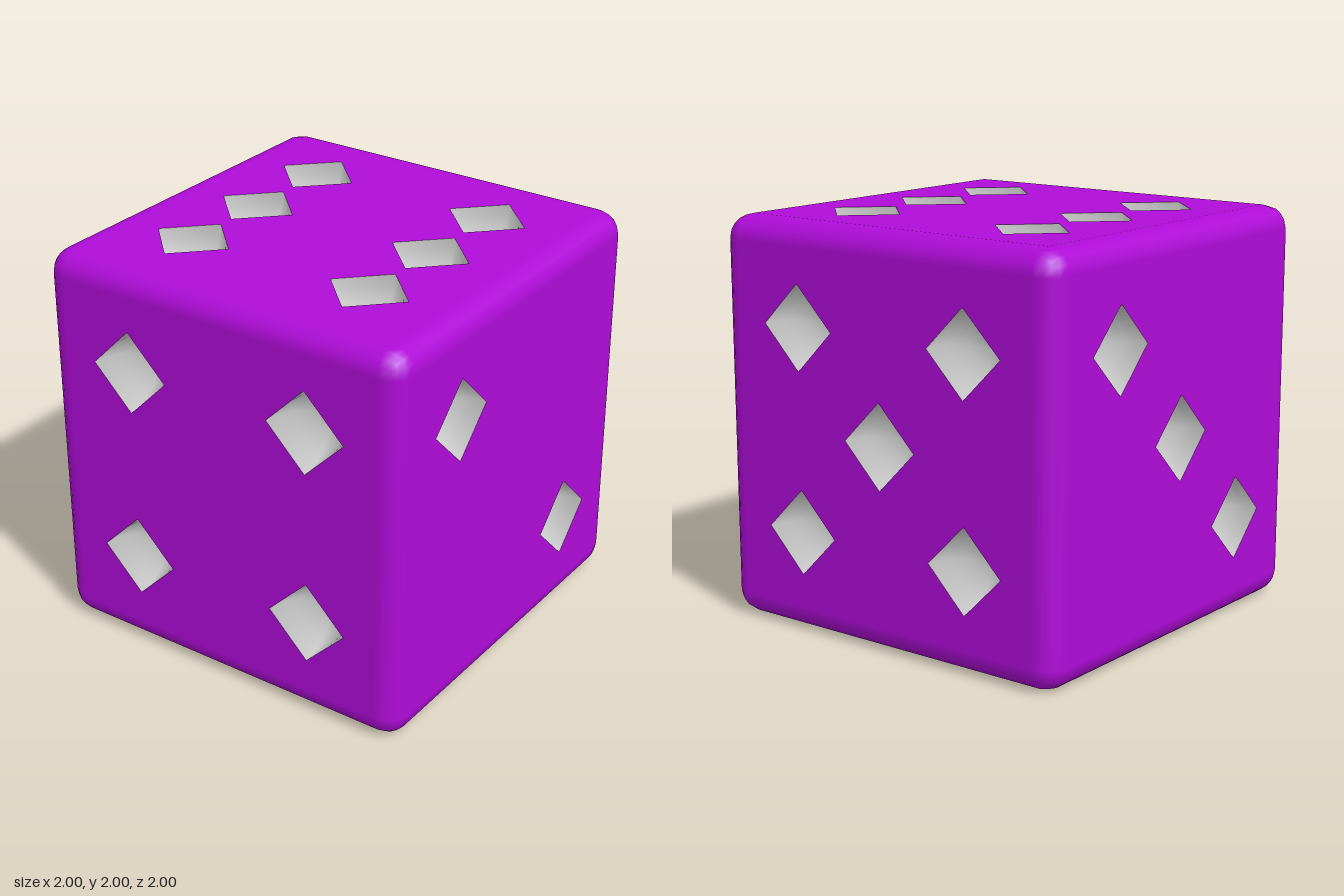
import * as THREE from 'three';
import { mergeGeometries } from 'three/addons/utils/BufferGeometryUtils.js';
import { RoundedBoxGeometry } from 'three/addons/geometries/RoundedBoxGeometry.js';

const BEVEL = 0.12, PIP = 0.21, S = 0.5, Q = Math.PI / 2;

// Each face: rotation from the +z side, and pip centres in the face's own x, y
const corners = [[-S, S], [S, S], [-S, -S], [S, -S]];
const diagonal = [[-S, S], [S, -S]];
const faces = [
  { name: 'front', rot: [0, 0], pips: corners },
  { name: 'back', rot: [0, 2 * Q], pips: [...corners, [0, 0]] },
  { name: 'left', rot: [0, Q], pips: diagonal },
  { name: 'right', rot: [0, -Q], pips: [...diagonal, [0, 0]] },
  { name: 'top', rot: [-Q, 0], pips: [...corners, [-S, 0], [S, 0]] },
  { name: 'bottom', rot: [Q, 0], pips: [[0, 0]] },
];

// Rounded edges and corners: a rounded box without its six flat panels
function roundedFrame() {
  const box = new RoundedBoxGeometry(2, 2, 2, 2, BEVEL);
  const p = box.attributes.position.array, n = box.attributes.normal.array;
  const pos = [], nor = [];
  for (let i = 0; i < p.length; i += 9) {
    const mean = [0, 1, 2].map((k) => Math.abs(n[i + k] + n[i + 3 + k] + n[i + 6 + k]) / 3);
    if (Math.max(...mean) > 0.9999) continue;
    pos.push(...p.slice(i, i + 9));
    nor.push(...n.slice(i, i + 9));
  }
  const g = new THREE.BufferGeometry();
  g.setAttribute('position', new THREE.Float32BufferAttribute(pos, 3));
  g.setAttribute('normal', new THREE.Float32BufferAttribute(nor, 3));
  return g;
}

// Flat panel with a diamond opening for every pip
function panel(pips) {
  const h = 1 - BEVEL;
  const square = (x, y, pts) => pts.map(([a, b]) => new THREE.Vector2(x + a, y + b));
  const shape = new THREE.Shape(square(0, 0, [[-h, -h], [h, -h], [h, h], [-h, h]]));
  for (const [x, y] of pips) {
    shape.holes.push(new THREE.Path(square(x, y, [[PIP, 0], [0, -PIP], [-PIP, 0], [0, PIP]])));
  }
  const g = new THREE.ShapeGeometry(shape).toNonIndexed();
  g.deleteAttribute('uv');
  return g.translate(0, 0, 1);
}

// Four-sided hollow, open towards +z
function pipBowl() {
  const profile = [];
  for (let i = 0; i <= 6; i++) {
    const a = (i / 6) * Q;
    profile.push(new THREE.Vector2(i === 6 ? 0 : PIP * Math.cos(a), -PIP * Math.sin(a)));
  }
  return new THREE.LatheGeometry(profile, 4).rotateX(Q);
}

export function createModel() {
  const group = new THREE.Group();
  group.name = 'die';
  const purple = new THREE.MeshStandardMaterial({ color: 0xaf0cd8 });
  const grey = new THREE.MeshStandardMaterial({ color: 0xcccccc });
  const bowl = pipBowl();
  const parts = [roundedFrame()];

  for (const { name, rot, pips } of faces) {
    parts.push(panel(pips).rotateX(rot[0]).rotateY(rot[1]));

    // Pips of this face
    const side = new THREE.Group();
    side.name = name + 'Pips';
    side.rotation.set(rot[0], rot[1], 0);
    side.position.y = 1;
    for (const [x, y] of pips) {
      const pip = new THREE.Mesh(bowl, grey);
      pip.name = 'pip';
      pip.position.set(x, y, 1);
      side.add(pip);
    }
    group.add(side);
  }

  const body = new THREE.Mesh(mergeGeometries(parts), purple);
  body.name = 'body';
  body.position.y = 1;
  group.add(body);
  return group;
}
